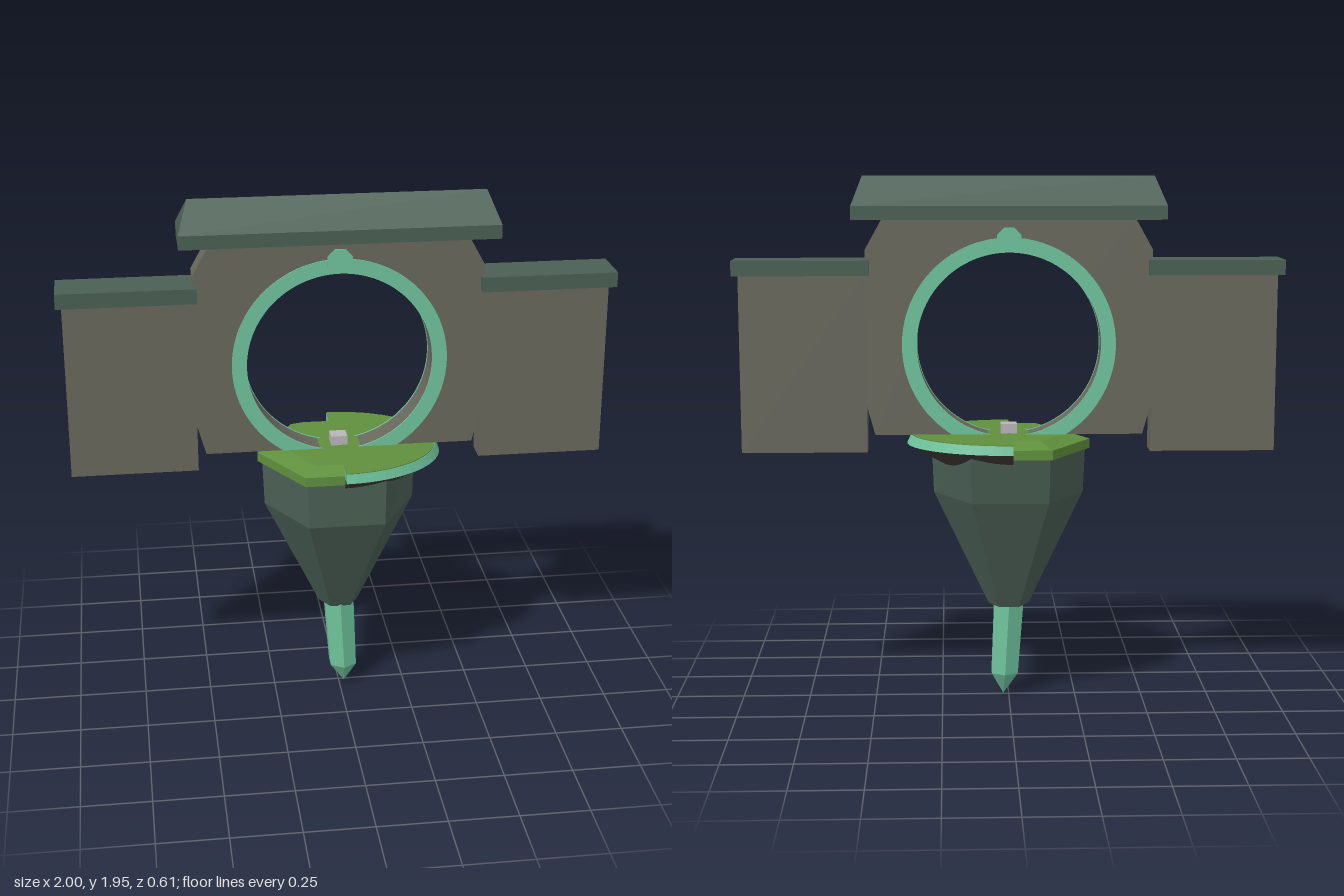
import * as THREE from 'three';

const mat = (name, color) => {
  const m = new THREE.MeshStandardMaterial({ color });
  m.name = name;
  return m;
};

export function createModel() {
  const group = new THREE.Group();
  const stone = mat('warm grey stone', 0x69685d);
  const slate = mat('dark green slate', 0x4a5f54);
  const jade = mat('pale jade', 0x6fc49d);
  const grass = mat('grass green', 0x5f8f3d);
  const rock = mat('dark brown rock', 0x403935);
  const pale = mat('pale grey', 0xb9b4bb);

  const add = (name, geometry, material, x = 0, y = 0, z = 0) => {
    const mesh = new THREE.Mesh(geometry, material);
    mesh.name = name;
    mesh.position.set(x, y, z);
    group.add(mesh);
    return mesh;
  };

  // Faceted solid through convex loops, listed bottom to top, each counterclockwise from above
  const loft = (loops) => {
    const p = [];
    const n = loops[0].length;
    const tri = (a, b, c) => p.push(...a, ...b, ...c);
    for (let k = 0; k + 1 < loops.length; k++) {
      for (let i = 0; i < n; i++) {
        const j = (i + 1) % n;
        const a = loops[k], b = loops[k + 1];
        tri(a[i], a[j], b[j]);
        tri(a[i], b[j], b[i]);
      }
    }
    const top = loops[loops.length - 1], low = loops[0];
    for (let i = 1; i + 1 < n; i++) {
      tri(top[0], top[i], top[i + 1]);
      tri(low[0], low[i + 1], low[i]);
    }
    const g = new THREE.BufferGeometry();
    g.setAttribute('position', new THREE.Float32BufferAttribute(p, 3));
    g.computeVertexNormals();
    return g;
  };
  const oval = (y, rx, rz, cx = 0, cz = 0, n = 6, start = 0, sweep = 2 * Math.PI) =>
    Array.from({ length: n }, (_, i) => {
      const t = start + (i * sweep) / (sweep > 6 ? n : n - 1);
      return [cx + rx * Math.cos(t), y, cz - rz * Math.sin(t)];
    });
  const rect = (y, w, d) => [[w, y, d], [w, y, -d], [-w, y, -d], [-w, y, d]];
  const plate = (shape, depth) => {
    const g = new THREE.ExtrudeGeometry(shape, { depth, bevelEnabled: false, curveSegments: 48 });
    return g.translate(0, 0, -depth / 2);
  };

  // Central wall with the round opening cutting its lower edge
  const cy = 1.345, base = 1.015, hole = 0.338, cut = Math.asin((cy - base) / hole);
  const wall = new THREE.Shape();
  wall.moveTo(hole * Math.cos(cut), base);
  wall.lineTo(0.49, base);
  wall.lineTo(0.522, 1.13);
  wall.lineTo(0.522, 1.69);
  wall.lineTo(0.455, 1.81);
  wall.lineTo(-0.455, 1.81);
  wall.lineTo(-0.522, 1.69);
  wall.lineTo(-0.522, 1.13);
  wall.lineTo(-0.49, base);
  wall.lineTo(-hole * Math.cos(cut), base);
  wall.absarc(0, cy, hole, Math.PI + cut, -cut, true);
  add('centralWall', plate(wall, 0.1), stone);

  // Ring trim and its small boss on both faces
  const outer = 0.39, inner = 0.336;
  const a = Math.asin((cy - base) / outer), b = Math.asin((cy - base) / inner);
  const ring = new THREE.Shape();
  ring.absarc(0, cy, outer, -a, Math.PI + a, false);
  ring.absarc(0, cy, inner, Math.PI + b, -b, true);
  for (const s of [1, -1]) {
    add('ringTrim', plate(ring, 0.006), jade, 0, 0, s * 0.051);
    const boss = new THREE.CylinderGeometry(0.048, 0.048, 0.008, 8, 1, false, Math.PI / 8);
    add('ringBoss', boss.rotateX(Math.PI / 2), jade, 0, 1.726, s * 0.051);
  }

  // Side wings with flat caps
  for (const s of [1, -1]) {
    add('wingWall', new THREE.BoxGeometry(0.46, 0.66, 0.092), stone, s * 0.75, 1.28, 0);
    add('wingCap', new THREE.BoxGeometry(0.492, 0.055, 0.17), slate, s * 0.754, 1.6275, 0);
  }

  // Hipped roof beam
  add('roof', loft([rect(1.8, 0.568, 0.098), rect(1.85, 0.568, 0.098), rect(1.955, 0.53, 0.0005)]), slate);

  // Left half of the platform: bevelled half hexagon
  const halfHex = (y, x, z) => [[0, y, -z], [-x / 2, y, -z], [-x, y, 0], [-x / 2, y, z], [0, y, z]];
  add('hexPlatform', loft([halfHex(0.955, 0.3, 0.257), halfHex(0.99, 0.3, 0.257), halfHex(1.015, 0.22, 0.21)]), grass);

  // Right half of the platform: oval rim, grass top and rock bowl
  const half = (y, rx, rz) => oval(y, rx, rz, -0.008, 0, 33, -Math.PI / 2, Math.PI);
  add('ovalRim', loft([half(0.98, 0.383, 0.306), half(1.013, 0.368, 0.297)]), jade);
  add('ovalGrass', loft([half(1.012, 0.366, 0.296), half(1.016, 0.366, 0.296)]), grass);
  add('rockBowl', loft([half(0.9, 0.24, 0.2), half(0.98, 0.383, 0.306)]), rock);

  // Small block standing in the opening
  add('smallBlock', new THREE.BoxGeometry(0.06, 0.04, 0.06), pale, 0, 1.03, 0);

  // Tapering six-sided body
  add('body', loft([
    oval(0.365, 0.075, 0.073),
    oval(0.79, 0.278, 0.277, 0, 0.015),
    oval(0.965, 0.284, 0.294),
  ]), slate);

  // Slightly leaning spike with corners at front and back
  const hex = (y, r, cx, cz) => oval(y, r * 0.98, r, cx, cz, 6, Math.PI / 6);
  add('spike', loft([
    hex(0.01, 0.0005, 0.02, 0.01),
    hex(0.095, 0.058, 0.015, 0.01),
    hex(0.37, 0.064, 0, 0.004),
  ]), jade);

  return group;
}
